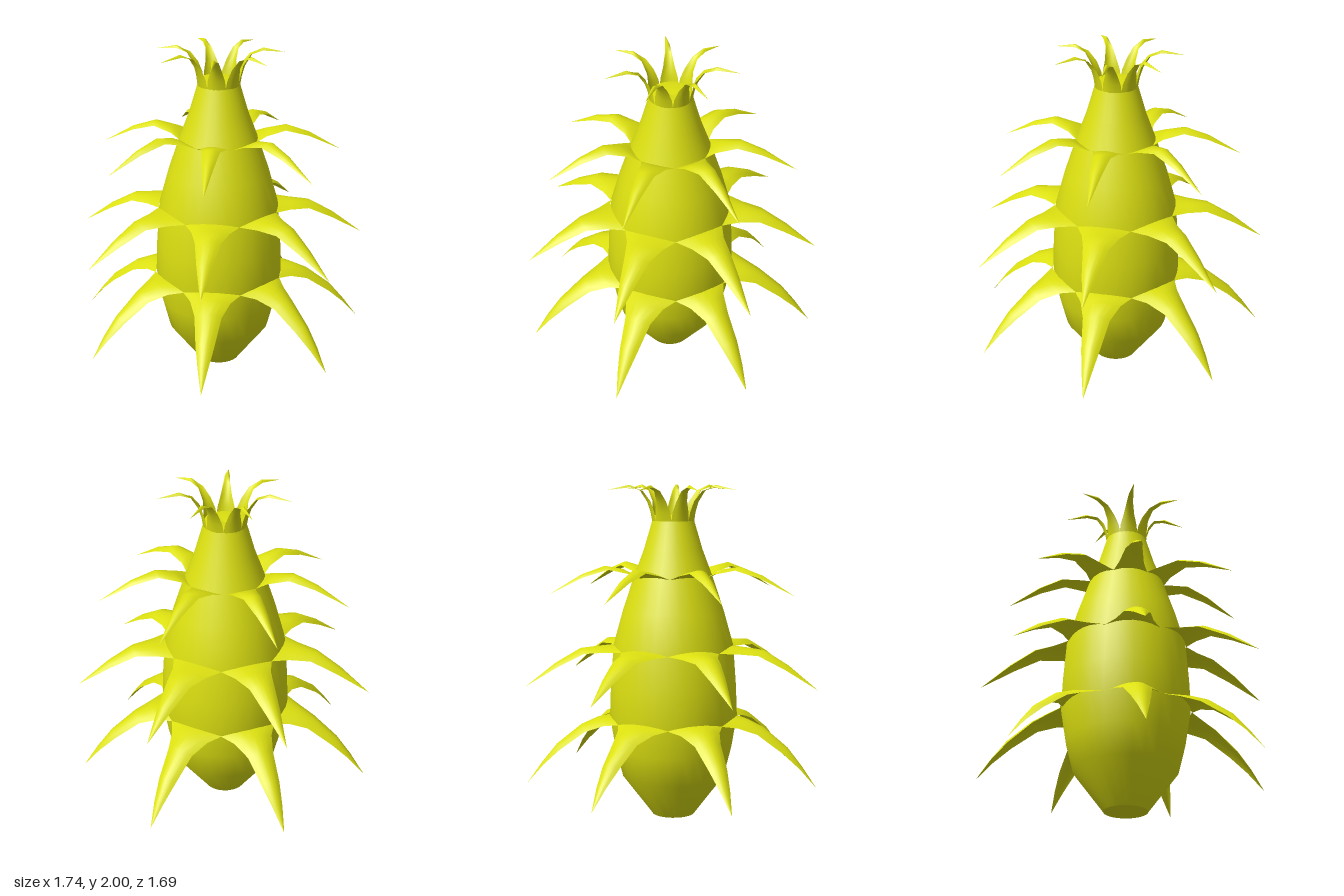
import * as THREE from 'three';

const POINTS = 7;      // leaves in every whorl
const COLUMNS = 6;     // quads across a leaf

// Arched leaf along +z. Each station: [midR, midY, edgeR, edgeY, halfWidth]
function leafGeometry(stations) {
  const pos = [], index = [];
  for (const [mr, my, er, ey, hw] of stations) {
    for (let j = 0; j <= COLUMNS; j++) {
      const t = (2 * j) / COLUMNS - 1;
      pos.push(hw * t, my + (ey - my) * t * t, mr + (er - mr) * t * t);
    }
  }
  const row = COLUMNS + 1;
  for (let i = 0; i < stations.length - 1; i++) {
    for (let j = 0; j < COLUMNS; j++) {
      const a = i * row + j, b = a + row;
      index.push(a, b, a + 1, b, b + 1, a + 1);
    }
  }
  const geo = new THREE.BufferGeometry();
  geo.setAttribute('position', new THREE.Float32BufferAttribute(pos, 3));
  geo.setIndex(index);
  geo.computeVertexNormals();
  return geo;
}

export function createModel() {
  const model = new THREE.Group();
  const material = new THREE.MeshStandardMaterial({ color: 0xdce010, side: THREE.DoubleSide });

  // Tapering body, closed by a flat foot and a shallow funnel at the top
  const profile = [
    [0, 0], [0.13, 0], [0.13, 0.001], [0.31, 0.24], [0.355, 0.42], [0.387, 0.615],
    [0.38, 0.8], [0.362, 1.045], [0.305, 1.25], [0.235, 1.46],
    [0.175, 1.62], [0.125, 1.79], [0.115, 1.82], [0, 1.8],
  ].map(([r, y]) => new THREE.Vector2(r, y));
  const body = new THREE.Mesh(new THREE.LatheGeometry(profile, 28), material);
  body.name = 'body';
  model.add(body);

  // Whorls of drooping leaves, from the bottom up, and the crown
  const whorls = {
    lowerLeaves: [
      [0.385, 0.62, 0.352, 0.595, 0.173], [0.46, 0.61, 0.435, 0.58, 0.12],
      [0.56, 0.57, 0.545, 0.54, 0.08], [0.71, 0.455, 0.695, 0.43, 0.055],
      [0.80, 0.345, 0.795, 0.335, 0.03], [0.89, 0.22, 0.89, 0.22, 0],
    ],
    middleLeaves: [
      [0.36, 1.05, 0.33, 1.025, 0.16], [0.45, 1.045, 0.425, 1.02, 0.11],
      [0.56, 1.035, 0.545, 1.01, 0.075], [0.71, 0.95, 0.70, 0.93, 0.045],
      [0.89, 0.81, 0.89, 0.81, 0],
    ],
    upperLeaves: [
      [0.23, 1.465, 0.212, 1.455, 0.103], [0.30, 1.505, 0.275, 1.48, 0.075],
      [0.41, 1.525, 0.395, 1.505, 0.052], [0.55, 1.475, 0.54, 1.46, 0.033],
      [0.74, 1.36, 0.74, 1.36, 0],
    ],
    crownLeaves: [
      [0.125, 1.785, 0.112, 1.785, 0.055], [0.135, 1.84, 0.12, 1.84, 0.05],
      [0.155, 1.90, 0.14, 1.905, 0.033], [0.20, 1.97, 0.185, 1.965, 0.02],
      [0.26, 2.0, 0.255, 1.985, 0.014], [0.39, 1.97, 0.39, 1.97, 0],
    ],
  };
  for (const [name, stations] of Object.entries(whorls)) {
    const whorl = new THREE.Group();
    whorl.name = name;
    const geo = leafGeometry(stations);
    for (let i = 0; i < POINTS; i++) {
      const leaf = new THREE.Mesh(geo, material);
      leaf.name = 'leaf';
      leaf.rotation.y = (i * 2 * Math.PI) / POINTS;
      whorl.add(leaf);
    }
    model.add(whorl);
  }

  // A leaf points to the front, so the axis sits slightly behind the centre
  model.position.z = -0.045;
  const root = new THREE.Group();
  root.name = 'spikyPlant';
  root.add(model);
  return root;
}
